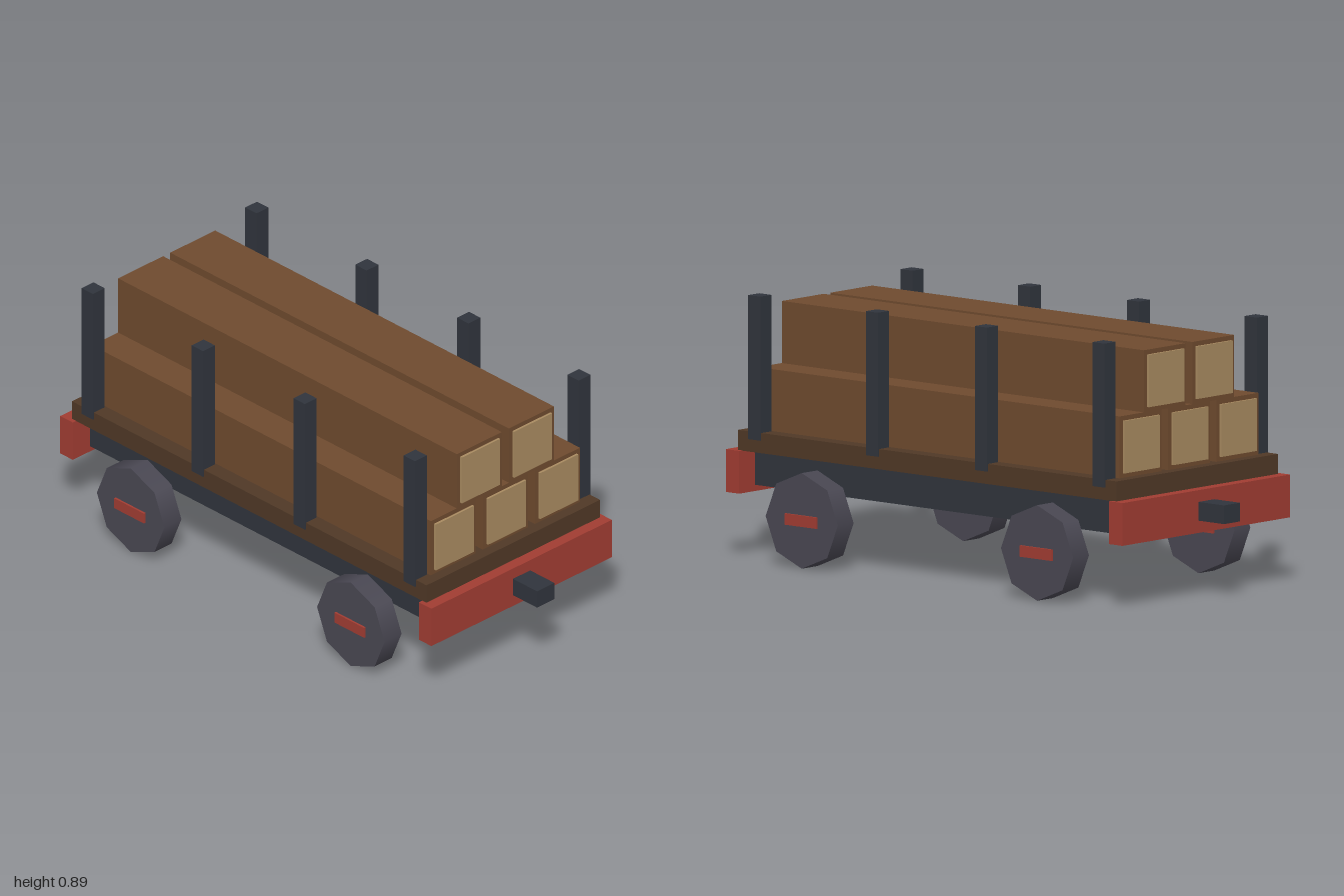
import * as THREE from 'three';

const paint = (color, flatShading = true) => new THREE.MeshStandardMaterial({ color, flatShading });

export function createModel() {
  const model = new THREE.Group();
  const iron = paint(0x30343c), red = paint(0xa03c32), deckWood = paint(0x4f3826);
  const timber = paint(0x6e4a2e), endGrain = paint(0xa88a60), steel = paint(0x494752, false);

  // Box given by its centre and size
  const box = (name, material, [x, y, z], [w, h, d], parent = model) => {
    const mesh = new THREE.Mesh(new THREE.BoxGeometry(w, h, d), material);
    mesh.name = name;
    mesh.position.set(x, y, z);
    parent.add(mesh);
    return mesh;
  };

  // Underframe and plank deck
  box('chassis', iron, [0, 0.302, 0], [1.68, 0.124, 0.68]);
  box('deck', deckWood, [0, 0.396, 0], [1.69, 0.068, 0.806]);

  // Buffer beam and coupler at each end
  for (const s of [-1, 1]) {
    box('bufferBeam', red, [s * 0.855, 0.291, 0], [0.06, 0.144, 0.838]);
    box('coupler', iron, [s * 0.92, 0.292, 0], [0.16, 0.063, 0.08]);
  }

  // Octagonal wheels with a red bar through each hub
  const wheelGeometry = new THREE.CylinderGeometry(0.161, 0.161, 0.079, 8).rotateX(Math.PI / 2);
  for (const sx of [-1, 1]) for (const sz of [-1, 1]) {
    const wheelSet = new THREE.Group();
    wheelSet.name = 'wheelSet';
    wheelSet.position.set(sx * 0.525, 0.161, sz * 0.403);
    const wheel = new THREE.Mesh(wheelGeometry, steel);
    wheel.name = 'wheel';
    wheelSet.add(wheel);
    box('hubBar', red, [0, 0, 0], [0.142, 0.038, 0.094], wheelSet);
    model.add(wheelSet);
  }

  // Upright stakes along both sides
  for (const x of [-0.768, -0.243, 0.243, 0.768]) for (const s of [-1, 1]) {
    box('stake', iron, [x, 0.647, s * 0.38], [0.054, 0.485, 0.055]);
  }

  // Stacked beams: three below, two above, with pale sawn ends
  const rows = [[0.534, [-0.242, 0, 0.242]], [0.743, [-0.121, 0.121]]];
  for (const [y, places] of rows) for (const z of places) {
    const beam = new THREE.Group();
    beam.name = 'timberBeam';
    beam.position.set(0, y, z);
    box('beamBody', timber, [0, 0, 0], [1.615, 0.209, 0.209], beam);
    for (const s of [-1, 1]) box('sawnEnd', endGrain, [s * 0.808, 0, 0], [0.016, 0.177, 0.177], beam);
    model.add(beam);
  }

  return model;
}
